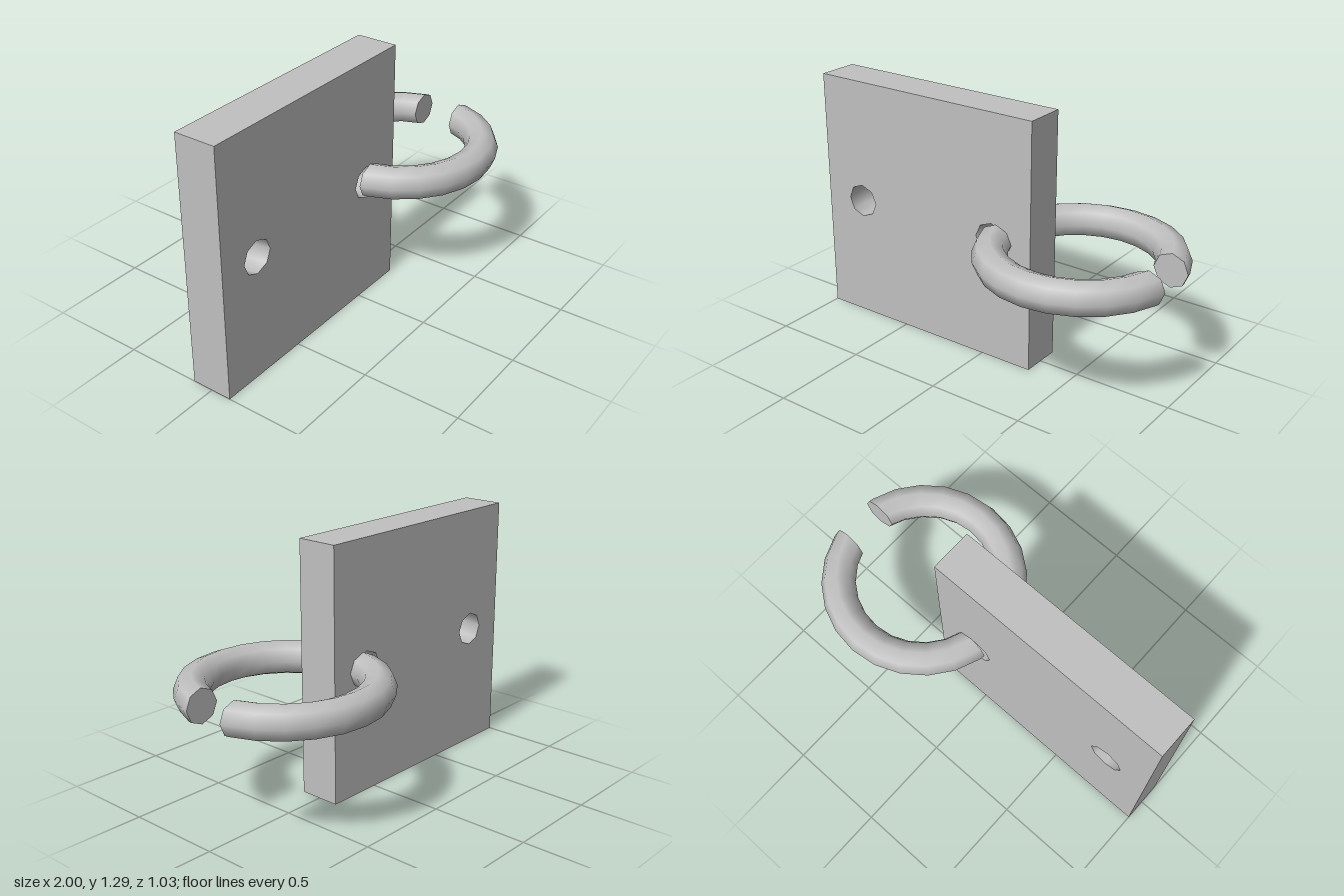
import * as THREE from 'three';

const U = 2 / 46.667;            // one design unit
const SIZE = 30 * U;             // square plate edge
const HALF = 2.5 * U;            // half plate thickness, also half the ring gap
const R = 10 * U, r = 2 * U;     // ring radius and bar radius
const SIDES = 8, STEP = Math.PI / 12;
const PLATE_X = -1 + SIZE / 2, RING_X = PLATE_X + 20 * U, MID_Y = SIZE / 2;

// x on a 24-sided circle of radius rho at depth z
function polyX(rho, z) {
  let k = 0;
  while (rho * Math.sin((k + 1) * STEP) < z) k++;
  const z0 = rho * Math.sin(k * STEP), z1 = rho * Math.sin((k + 1) * STEP);
  const x0 = rho * Math.cos(k * STEP), x1 = rho * Math.cos((k + 1) * STEP);
  return x0 + (x1 - x0) * (z - z0) / (z1 - z0);
}

// outline of the bent bar where it crosses the plane z = HALF
function cutOutline(sign, cx = 0, cy = 0) {
  return Array.from({ length: SIDES }, (_, j) => {
    const phi = j / SIDES * Math.PI * 2;
    return new THREE.Vector2(cx + sign * polyX(R + r * Math.cos(phi), HALF), cy + r * Math.sin(phi));
  });
}

// skin over bent-bar sections; pointAt(i, rho) gives [x, z] of a section point
function barSkin(count, pointAt, inward) {
  const pos = [], nor = [], idx = [], s = inward ? -1 : 1, row = SIDES + 1;
  for (let i = 0; i < count; i++) {
    for (let j = 0; j <= SIDES; j++) {
      const phi = j / SIDES * Math.PI * 2, c = Math.cos(phi);
      const [x, z] = pointAt(i, R + r * c);
      const t = Math.atan2(z, x);
      pos.push(x, r * Math.sin(phi), z);
      nor.push(s * c * Math.cos(t), s * Math.sin(phi), s * c * Math.sin(t));
      if (i < count - 1 && j < SIDES) {
        const a = i * row + j, b = a + 1, d = a + row, e = d + 1;
        if (inward) idx.push(a, d, b, b, d, e);
        else idx.push(a, b, d, b, e, d);
      }
    }
  }
  const g = new THREE.BufferGeometry();
  g.setAttribute('position', new THREE.Float32BufferAttribute(pos, 3));
  g.setAttribute('normal', new THREE.Float32BufferAttribute(nor, 3));
  g.setIndex(idx);
  return g;
}

export function createModel() {
  const grey = new THREE.MeshStandardMaterial({ color: 0xc0c0c0 });
  grey.name = 'grey';
  const model = new THREE.Group();
  const add = (parent, geometry, name) => {
    const m = new THREE.Mesh(geometry, grey);
    m.name = name;
    parent.add(m);
    return m;
  };

  // square plate with two holes
  const plate = new THREE.Group();
  plate.name = 'plate';
  plate.position.set(PLATE_X, MID_Y, 0);
  model.add(plate);
  const h = SIZE / 2;
  const face = new THREE.Shape([[-h, -h], [h, -h], [h, h], [-h, h]].map(p => new THREE.Vector2(...p)));
  for (const sign of [1, -1]) face.holes.push(new THREE.Path(cutOutline(sign)));
  const faceGeo = new THREE.ShapeGeometry(face);
  const edgeGeo = new THREE.PlaneGeometry(2 * HALF, SIZE).rotateY(Math.PI / 2).translate(h, 0, 0);
  // hole walls curve along the same circle as the ring
  const holeGeo = barSkin(3, (i, rho) => [polyX(rho, Math.abs(i - 1) * HALF), (i - 1) * HALF], true);
  for (let k = 0; k < 2; k++) {
    const side = new THREE.Group();
    side.name = k ? 'plateBackSide' : 'plateFrontSide';
    side.rotation.y = k * Math.PI;
    plate.add(side);
    add(side, faceGeo, 'plateFace').position.z = HALF;
    add(side, holeGeo, 'holeWall');
  }
  for (let k = 0; k < 4; k++) add(plate, edgeGeo, 'plateEdge').rotation.z = k * Math.PI / 2;

  // ring in two halves, trimmed flat at the plate faces
  const ring = new THREE.Group();
  ring.name = 'ring';
  ring.position.set(RING_X, MID_Y, 0);
  model.add(ring);
  const halfGeo = barSkin(13, (i, rho) => {
    const x = rho * Math.cos(i * STEP), z = rho * Math.sin(i * STEP);
    return z < HALF ? [Math.sign(x) * polyX(rho, HALF), HALF] : [x, z];
  }, false);
  const capGeo = new THREE.ShapeGeometry([1, -1].map(s => new THREE.Shape(cutOutline(s))));
  capGeo.rotateY(Math.PI).translate(0, 0, HALF);
  for (let k = 0; k < 2; k++) {
    const half = new THREE.Group();
    half.name = k ? 'ringBackHalf' : 'ringFrontHalf';
    half.rotation.y = k * Math.PI;
    ring.add(half);
    add(half, halfGeo, 'ringBar');
    add(half, capGeo, 'ringEnds');
  }
  return model;
}
